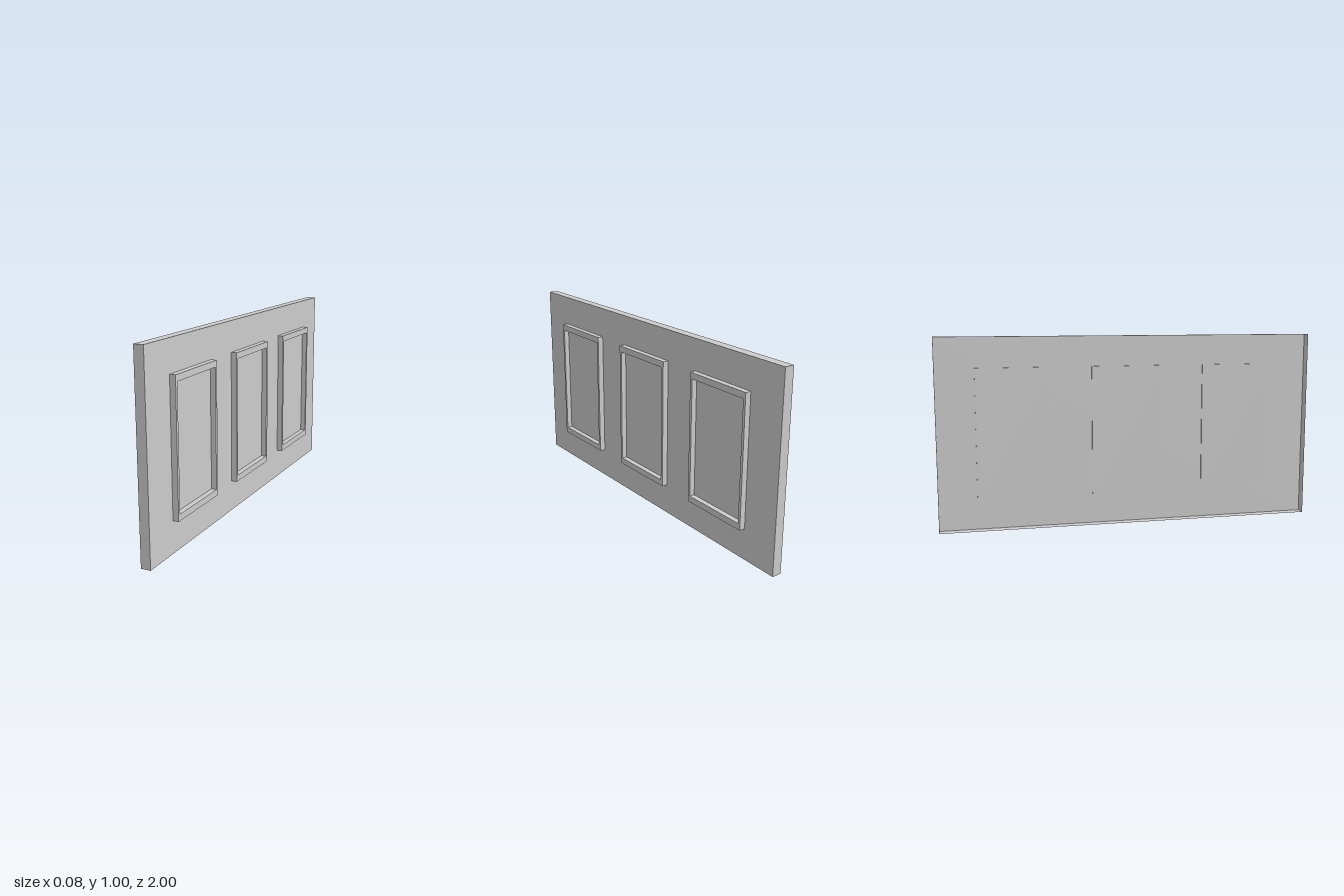
import * as THREE from 'three';

const FACE_X = 0.01; // plane of the panel face

// Rectangle outline centred on the origin
function rectangle(PathType, w, h) {
  return new PathType([
    new THREE.Vector2(-w / 2, -h / 2), new THREE.Vector2(w / 2, -h / 2),
    new THREE.Vector2(w / 2, h / 2), new THREE.Vector2(-w / 2, h / 2),
  ]);
}

export function createModel() {
  const model = new THREE.Group();
  model.name = 'wallPanel';
  const grey = new THREE.MeshStandardMaterial({ color: 0xcccccc });
  const thinGrey = new THREE.MeshStandardMaterial({ color: 0xcccccc, side: THREE.DoubleSide });

  // Panel: thin shell, open at the back (-x)
  const shell = new THREE.BoxGeometry(0.05, 1, 2);
  const index = Array.from(shell.index.array);
  index.splice(6, 6); // drop the -x face
  shell.setIndex(index);
  shell.clearGroups();
  const panel = new THREE.Mesh(shell, thinGrey);
  panel.name = 'panelShell';
  panel.position.set(FACE_X - 0.025, 0.5, 0);
  model.add(panel);

  // Raised rectangular moulding, slightly sunk through the panel
  const back = 0.004, front = 0.04;
  const outline = rectangle(THREE.Shape, 0.39, 0.68);
  outline.holes.push(rectangle(THREE.Path, 0.36, 0.615));
  const ring = new THREE.ExtrudeGeometry(outline, { depth: front - back, bevelEnabled: false });
  ring.rotateY(Math.PI / 2);

  // Floor filling each moulding
  const floorTop = 0.012;
  const floor = new THREE.BoxGeometry(floorTop - back, 0.615, 0.36);

  [-0.605, 0, 0.605].forEach((z) => {
    const frame = new THREE.Group();
    frame.name = 'mouldingFrame';
    const border = new THREE.Mesh(ring, grey);
    border.name = 'mouldingBorder';
    border.position.x = back;
    const inset = new THREE.Mesh(floor, grey);
    inset.name = 'mouldingInset';
    inset.position.x = (back + floorTop) / 2;
    frame.add(border, inset);
    frame.position.set(0, 0.5, z);
    model.add(frame);
  });

  return model;
}
